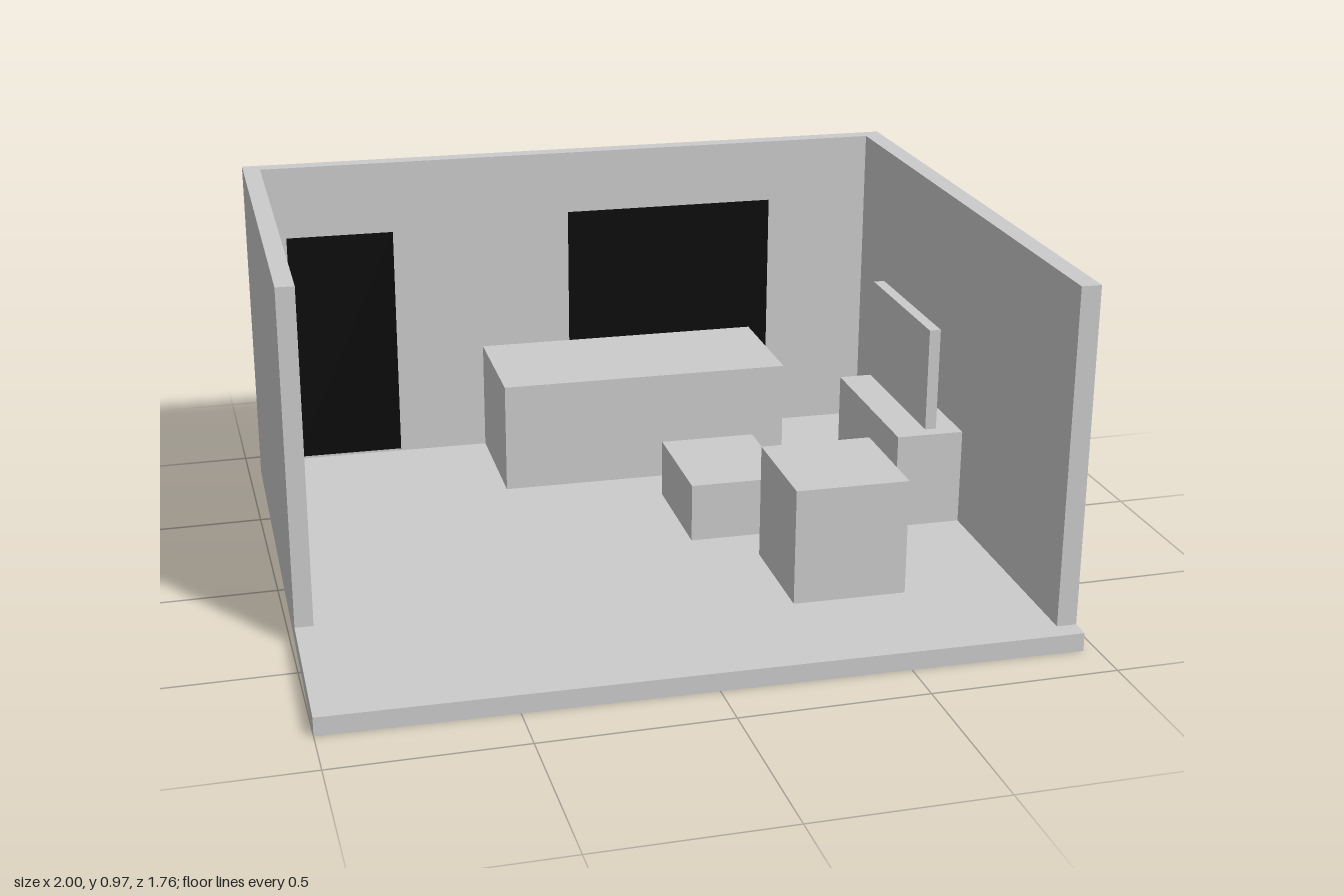
import * as THREE from 'three';

const FLOOR = 0.05, TOP = 0.965;

export function createModel() {
  const root = new THREE.Group();
  root.name = 'room';
  const room = new THREE.Group();
  room.name = 'roomShell';
  room.rotation.y = -0.0214; // the room stands slightly askew
  root.add(room);

  const grey = new THREE.MeshStandardMaterial({ color: 0xcccccc, flatShading: true });
  const black = new THREE.MeshStandardMaterial({ color: 0x0a0a0a, flatShading: true });

  // Box given by its limits on each axis
  const box = (name, [x0, x1], [y0, y1], [z0, z1], material = grey) => {
    const mesh = new THREE.Mesh(new THREE.BoxGeometry(x1 - x0, y1 - y0, z1 - z0), material);
    mesh.position.set((x0 + x1) / 2, (y0 + y1) / 2, (z0 + z1) / 2);
    mesh.name = name;
    room.add(mesh);
  };
  const rectangle = (path, [x0, x1], [y0, y1]) =>
    path.moveTo(x0, y0).lineTo(x1, y0).lineTo(x1, y1).lineTo(x0, y1).closePath();

  // Floor and side walls
  box('floor', [-0.982, 0.982], [0, FLOOR], [-0.858, 0.858]);
  box('rightWall', [-0.982, -0.933], [FLOOR, TOP], [-0.809, 0.366]);
  box('leftWall', [0.929, 0.982], [FLOOR, TOP], [-0.809, 0.805]);

  // Back wall with door and window openings, each filled by a recessed dark panel
  const openings = [
    { name: 'door', x: [-0.868, -0.552], y: [0.057, 0.752] },
    { name: 'window', x: [-0.017, 0.618], y: [0.253, 0.78] },
  ];
  const wall = new THREE.Shape();
  rectangle(wall, [-0.982, 0.982], [FLOOR, TOP]);
  for (const { name, x, y } of openings) {
    const hole = new THREE.Path();
    rectangle(hole, x, y);
    wall.holes.push(hole);
    box(name, x, y, [-0.834, -0.808], black);
  }
  const backWall = new THREE.Mesh(
    new THREE.ExtrudeGeometry(wall, { depth: 0.049, bevelEnabled: false }), grey);
  backWall.position.z = -0.858;
  backWall.name = 'backWall';
  room.add(backWall);

  // Furniture blocks
  box('sofa', [-0.288, 0.56], [FLOOR, 0.37], [-0.809, -0.424]);
  box('coffeeTable', [0.151, 0.424], [FLOOR, 0.215], [-0.283, 0.063]);
  box('armchair', [0.309, 0.617], [FLOOR, 0.37], [0.198, 0.522]);
  box('console', [0.738, 0.929], [FLOOR, 0.322], [-0.417, 0.1]);
  box('screen', [0.821, 0.853], [0.335, 0.628], [-0.383, 0.09]);

  return root;
}
